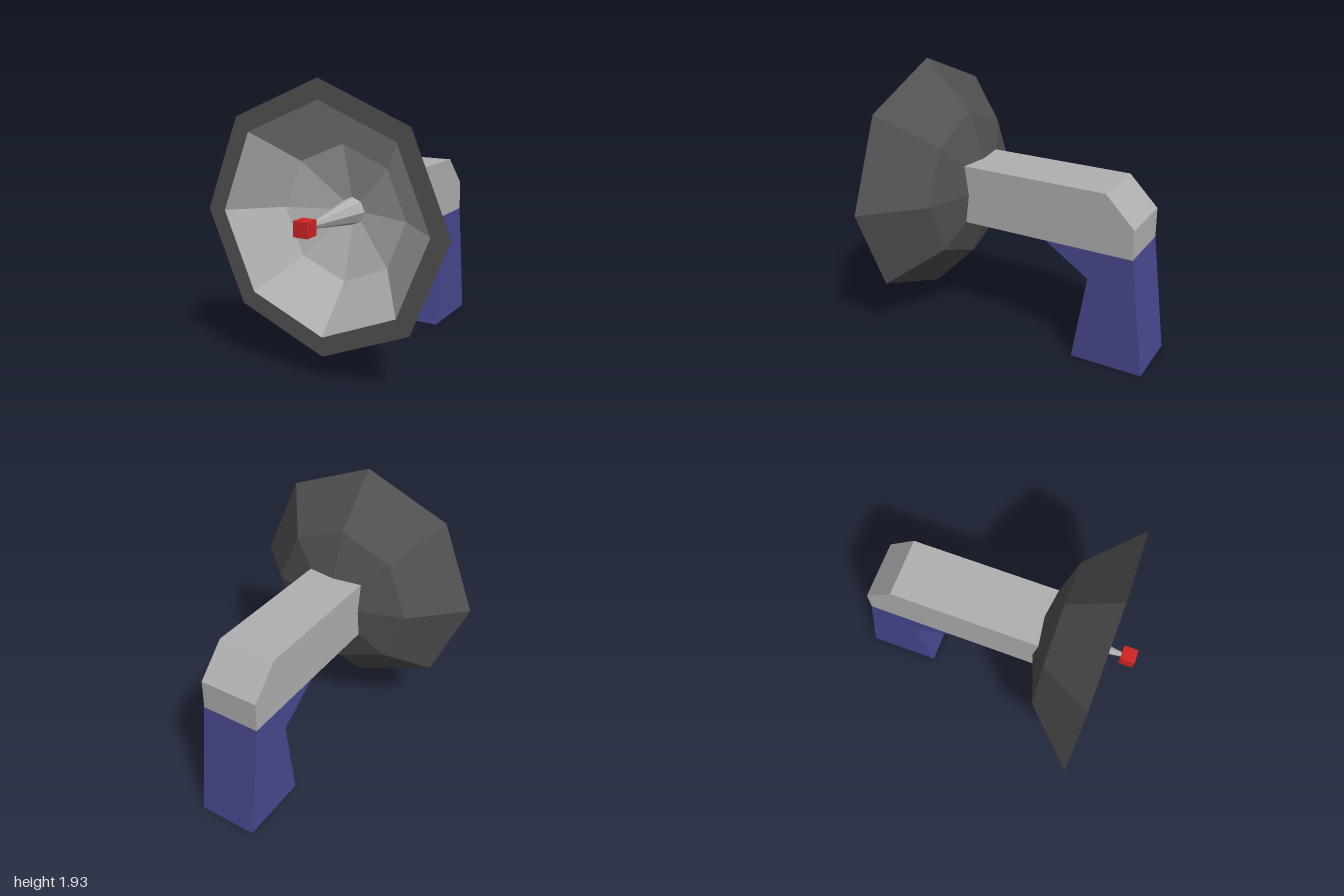
import * as THREE from 'three';

const AXIS_Y = 1.055; // height of the dish axis
const WIDTH = 0.42; // width of arm and stand

const material = (name, color) => {
  const m = new THREE.MeshStandardMaterial({ color });
  m.name = name;
  return m;
};

// Faceted mesh with one normal per face
function facetedMesh(name, geometry, mat) {
  const g = geometry.index ? geometry.toNonIndexed() : geometry;
  g.computeVertexNormals();
  const mesh = new THREE.Mesh(g, mat);
  mesh.name = name;
  return mesh;
}

// Side outline of [z, y] points, extruded across x
function sideProfile(name, points, mat) {
  const shape = new THREE.Shape(points.map(([z, y]) => new THREE.Vector2(z, y)));
  const g = new THREE.ExtrudeGeometry(shape, { depth: WIDTH, bevelEnabled: false });
  g.translate(0, 0, -WIDTH / 2).rotateY(-Math.PI / 2);
  return facetedMesh(name, g, mat);
}

// Eight-sided turned part along the z axis from [radius, z] points
function octagonal(name, points, mat) {
  const g = new THREE.LatheGeometry(points.map(([r, z]) => new THREE.Vector2(r, z)), 8);
  g.rotateX(Math.PI / 2).translate(0, AXIS_Y, 0);
  return facetedMesh(name, g, mat);
}

export function createModel() {
  const grey = material('light grey', 0xb0b0b0);
  const dark = material('dark grey', 0x525252);
  const blue = material('blue', 0x484890);
  const red = material('red', 0xd02424);

  const model = new THREE.Group();
  model.name = 'dishAntenna';

  // Stand and horizontal arm
  model.add(sideProfile('stand',
    [[-1, 0], [-0.48, 0], [-0.585, 0.635], [-0.27, 0.845], [-0.895, 0.845]], blue));
  model.add(sideProfile('arm',
    [[-0.895, 0.845], [0.365, 0.845], [0.365, 1.265], [-0.69, 1.265], [-0.895, 1.055]], grey));

  // Dish: dark back and rim, light bowl
  model.add(octagonal('dishBack', [[0, 0.264], [0.535, 0.445], [0.88, 0.79], [0.75, 0.79]], dark));
  model.add(octagonal('dishBowl', [[0.75, 0.79], [0.455, 0.515], [0, 0.375]], grey));

  // Feed horn with receiver cube
  model.add(octagonal('feedHorn', [[0, 0.38], [0.097, 0.38], [0.015, 0.91], [0, 0.91]], grey));
  const receiver = facetedMesh('receiver', new THREE.BoxGeometry(0.1, 0.1, 0.1), red);
  receiver.position.set(0, AXIS_Y, 0.95);
  model.add(receiver);

  return model;
}
